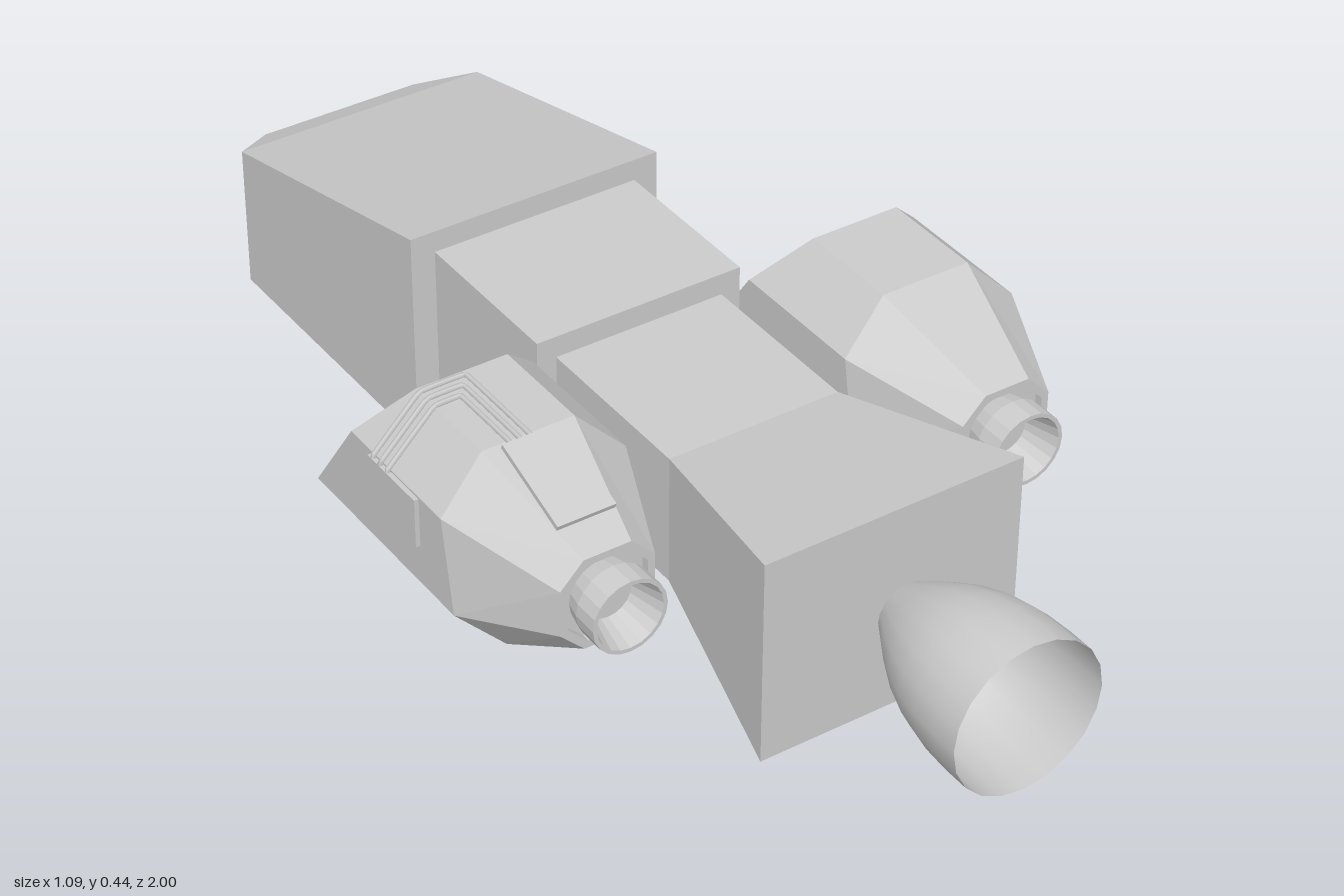
import * as THREE from 'three';

const flat = new THREE.MeshStandardMaterial({ color: 0xcccccc, flatShading: true, side: THREE.DoubleSide });
const smooth = new THREE.MeshStandardMaterial({ color: 0xcccccc, side: THREE.DoubleSide });

function add(parent, name, geometry, material = flat) {
  const mesh = new THREE.Mesh(geometry, material);
  mesh.name = name;
  parent.add(mesh);
  return mesh;
}

// Skins a row of equal-sized rings, running from +z to -z, and caps both ends.
function loft(rings) {
  const pos = [];
  const tri = (...pts) => pts.forEach(p => pos.push(p.x, p.y, p.z));
  const mid = ring => ring.reduce((s, p) => s.add(p), new THREE.Vector3()).divideScalar(ring.length);
  const n = rings[0].length;
  const first = rings[0], last = rings[rings.length - 1];
  for (let i = 0; i < n; i++) {
    const j = (i + 1) % n;
    tri(mid(first), first[i], first[j]);
    for (let r = 0; r + 1 < rings.length; r++) {
      const a = rings[r], b = rings[r + 1];
      tri(a[i], b[i], b[j]);
      tri(a[i], b[j], a[j]);
    }
    tri(mid(last), last[j], last[i]);
  }
  const g = new THREE.BufferGeometry();
  g.setAttribute('position', new THREE.Float32BufferAttribute(pos, 3));
  g.computeVertexNormals();
  return g;
}

const rect = (hw, y0, y1, z) => [[hw, y0], [hw, y1], [-hw, y1], [-hw, y0]]
  .map(([x, y]) => new THREE.Vector3(x, y, z));

// Chamfered square of half size h; z is a function of height above the pod axis.
const octagon = (h, zOf) => {
  const c = h * 0.5;
  return [[h, -c], [h, c], [c, h], [-c, h], [-h, c], [-h, -c], [-c, -h], [c, -h]]
    .map(([x, y]) => new THREE.Vector3(x, y, zOf(y)));
};

// Open bell turned around the z axis; points are [radius, z].
function bell(points, sides) {
  const g = new THREE.LatheGeometry(points.map(([r, z]) => new THREE.Vector2(r, z)), sides);
  return g.rotateX(Math.PI / 2);
}

const H = 0.167;
const cut = y => -0.072 + y * 0.712; // slanted intake plane

function makePod(name, x) {
  const pod = new THREE.Group();
  pod.name = name;
  pod.position.set(x, 0.265, 0);

  // Shell with recessed rear end and recessed slanted intake
  add(pod, 'podShell', loft([
    octagon(0.072, () => 0.445),
    octagon(0.072, () => 0.46),
    octagon(0.085, () => 0.46),
    octagon(H, y => 0.27 - y * 0.18),
    octagon(H, cut),
    octagon(0.145, cut),
    octagon(0.145, y => cut(y) + 0.06),
  ]));

  // Intake louvres
  const count = 8;
  for (let i = 0; i < count; i++) {
    const y = -0.12 + i * 0.24 / (count - 1);
    const half = Math.min(0.145, 0.2175 - Math.abs(y) - 0.006);
    add(pod, 'louvre', new THREE.BoxGeometry(half * 2, 0.012, 0.05))
      .position.set(0, y, cut(y) + 0.037);
  }

  // Small exhaust
  add(pod, 'podExhaust', bell([[0.06, 0.445], [0.067, 0.475], [0.067, 0.522], [0.06, 0.522],
    [0.042, 0.46], [0, 0.46]], 20), flat);
  return pod;
}

function addPipework(pod) {
  // Three parallel pipes over the outer chamfer, turning towards the rear
  for (let k = 0; k < 3; k++) {
    const z = 0.06 + k * 0.022, xb = 0.0 - k * 0.018;
    const pts = [[-0.17, 0.03, z], [-0.17, 0.083, z], [-0.084, 0.169, z], [xb, 0.169, z], [xb, 0.169, 0.25]]
      .map(p => new THREE.Vector3(...p));
    const path = new THREE.CatmullRomCurve3(pts, false, 'catmullrom', 0.05);
    add(pod, 'pipe', new THREE.TubeGeometry(path, 48, 0.005, 6), smooth);
  }
  // Plate on the tapered top
  const plate = add(pod, 'topPlate', new THREE.BoxGeometry(0.105, 0.012, 0.165));
  plate.position.set(0, 0.139, 0.325);
  plate.rotation.x = Math.atan2(0.082, 0.22);
  // Plate on the outer side
  add(pod, 'sidePlate', new THREE.BoxGeometry(0.014, 0.09, 0.14)).position.set(-0.168, 0.035, 0.12);
}

export function createModel() {
  const model = new THREE.Group();
  model.name = 'spacecraft';

  // Three hull sections, tail to nose
  const hull = new THREE.Group();
  hull.name = 'hull';
  hull.position.x = 0.006;
  model.add(hull);
  add(hull, 'tailSection', loft([
    rect(0.24, 0.02, 0.4, 0.67), rect(0.16, 0.09, 0.33, 0.3), rect(0.16, 0.09, 0.33, -0.03)]));
  add(hull, 'middleSection', loft([rect(0.196, 0.045, 0.37, -0.025), rect(0.196, 0.045, 0.37, -0.34)]));
  add(hull, 'noseSection', loft([
    rect(0.241, 0, 0.41, -0.338), rect(0.241, 0, 0.27, -0.92), rect(0.152, 0.07, 0.232, -1)]));

  // Main engine bell
  const engine = add(model, 'mainNozzle', bell([[0.053, 0.7], [0.083, 0.75], [0.108, 0.8], [0.125, 0.85],
    [0.134, 0.9], [0.137, 0.95], [0.137, 1]], 20), smooth);
  engine.position.set(0.01, 0.226, 0);

  // Side engine pods
  const rightPod = makePod('rightPod', -0.372);
  addPipework(rightPod);
  model.add(makePod('leftPod', 0.379), rightPod);
  return model;
}
